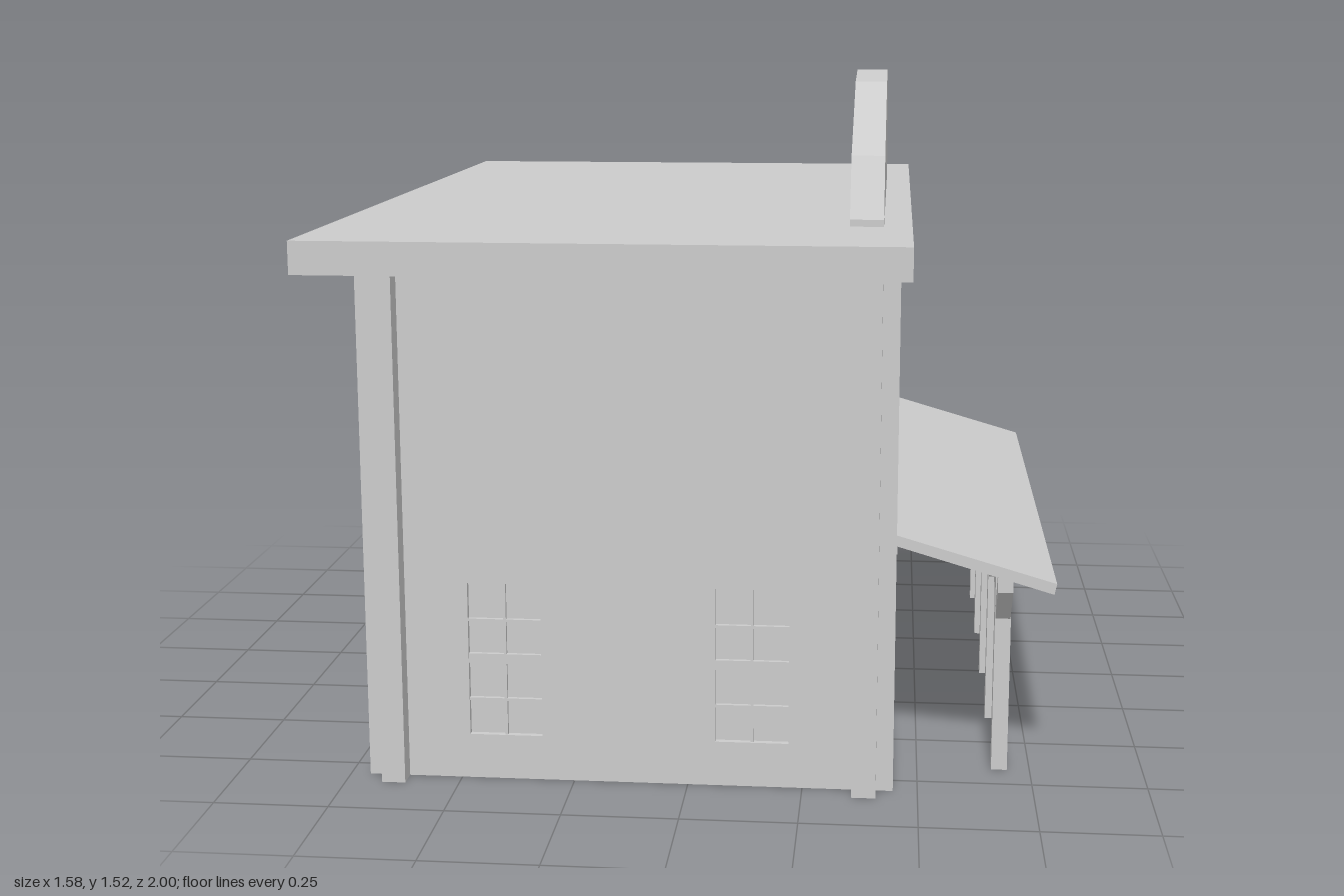
import * as THREE from 'three';

const mat = new THREE.MeshStandardMaterial({ color: 0xcccccc, flatShading: true });

function add(parent, name, geo) {
  const m = new THREE.Mesh(geo, mat);
  m.name = name;
  parent.add(m);
  return m;
}

// Box given by its min and max corners
function box(parent, name, x0, x1, y0, y1, z0, z1) {
  const m = add(parent, name, new THREE.BoxGeometry(x1 - x0, y1 - y0, z1 - z0));
  m.position.set((x0 + x1) / 2, (y0 + y1) / 2, (z0 + z1) / 2);
  return m;
}

function polygon(points) {
  return new THREE.Shape(points.map(([x, y]) => new THREE.Vector2(x, y)));
}

// Upright rectangular sheet with rectangular holes, each [x0, x1, y0, y1]
function panel(parent, name, [x0, x1, y0, y1], holes, zBack, depth) {
  const shape = polygon([[x0, y0], [x1, y0], [x1, y1], [x0, y1]]);
  for (const [a, b, c, d] of holes) {
    shape.holes.push(new THREE.Path([[a, c], [a, d], [b, d], [b, c]].map(p => new THREE.Vector2(...p))));
  }
  const m = add(parent, name, new THREE.ExtrudeGeometry(shape, { depth, bevelEnabled: false }));
  m.position.z = zBack;
  return m;
}

const WIN_W = 0.16, WIN_H = 0.345, WALL_H = 1.15, WALL_T = 0.03;

// Double-hung window, set back in its opening; outer wall face is z = 0
function addWindow(parent, cx, y) {
  const g = new THREE.Group();
  g.name = 'window';
  g.position.set(cx, y, 0);
  parent.add(g);
  const h = WIN_W / 2;
  box(g, 'windowPane', -h, h, 0, WIN_H, -0.028, -0.013);
  box(g, 'verticalGlazingBar', -0.003, 0.003, 0, WIN_H, -0.013, -0.004);
  for (const [a, b] of [[0.077, 0.083], [0.162, 0.184], [0.257, 0.263]]) {
    box(g, 'horizontalGlazingBar', -h, h, a, b, -0.013, -0.004);
  }
}

// Wall facing local +z, with windows at [centre x, sill y]
function wall(parent, name, width, windows, extraHoles = []) {
  const g = new THREE.Group();
  g.name = name;
  parent.add(g);
  const holes = windows.map(([x, y]) => [x - WIN_W / 2, x + WIN_W / 2, y, y + WIN_H]);
  panel(g, name + 'Panel', [-width / 2, width / 2, 0, WALL_H], holes.concat(extraHoles), -WALL_T, WALL_T);
  windows.forEach(([x, y]) => addWindow(g, x, y));
  return g;
}

// Framed door with a glazed top and a panelled bottom
function addDoor(parent) {
  const g = new THREE.Group();
  g.name = 'door';
  parent.add(g);
  panel(g, 'doorLeaf', [-0.112, 0.112, 0.008, 0.34],
    [[-0.1, 0.1, 0.2, 0.33], [-0.09, 0.09, 0.03, 0.17]], -0.02, 0.012);
  box(g, 'doorInfill', -0.112, 0.112, 0.008, 0.34, -0.028, -0.018);
  for (const s of [-1, 1]) {
    box(g, 'doorJamb', s * 0.128 - 0.016, s * 0.128 + 0.016, 0, 0.35, 0, 0.03);
  }
  box(g, 'doorHead', -0.112, 0.112, 0.335, 0.35, 0, 0.03);
  box(g, 'doorLintel', -0.15, 0.15, 0.345, 0.38, 0, 0.042);
}

export function createModel() {
  const model = new THREE.Group();
  model.name = 'building';
  const X0 = -0.67, X1 = 0.41, Z = 0.81, CX = (X0 + X1) / 2;

  // Hollow shell, open at the bottom
  for (const s of [1, -1]) {
    const end = wall(model, 'endWall', X1 - X0, [[-0.27 * s, 0.1], [0.27 * s, 0.1]]);
    end.position.set(CX, 0, s * Z);
    if (s < 0) end.rotation.y = Math.PI;
  }
  const back = wall(model, 'rearWall', 2 * Z, []);
  back.rotation.y = -Math.PI / 2;
  back.position.x = X0;
  const facade = wall(model, 'entranceWall', 2 * Z,
    [[-0.45, 0.1], [0.45, 0.1], [-0.45, 0.645], [0, 0.645], [0.45, 0.645]],
    [[-0.112, 0.112, 0.008, 0.34]]);
  facade.rotation.y = Math.PI / 2;
  facade.position.x = X1;
  addDoor(facade);

  // Paired pilasters beside each corner
  for (const sz of [1, -1]) {
    for (const [x, sx] of [[X1, 1], [X0, -1]]) {
      const endX = [x, x - sx * 0.052].sort((a, b) => a - b);
      const endZ = [sz * Z, sz * 0.855].sort((a, b) => a - b);
      box(model, 'endPilaster', ...endX, 0, WALL_H, ...endZ);
      const sideX = [x, x + sx * 0.037].sort((a, b) => a - b);
      const sideZ = [sz * 0.765, sz * Z].sort((a, b) => a - b);
      box(model, 'sidePilaster', ...sideX, 0, WALL_H, ...sideZ);
    }
  }

  // Frieze with hanging teeth under the eave
  const frieze = [[-0.765, 1.145], [-0.765, 1.088]];
  const teeth = [[-0.665, -0.573], [-0.477, -0.38], [-0.288, -0.192], [-0.1, 0.1],
    [0.192, 0.288], [0.38, 0.477], [0.573, 0.665]];
  for (const [a, b] of teeth) frieze.push([a, 1.088], [a, 1.038], [b, 1.038], [b, 1.088]);
  frieze.push([0.765, 1.088], [0.765, 1.145]);
  add(facade, 'toothedFrieze', new THREE.ExtrudeGeometry(polygon(frieze), { depth: 0.03, bevelEnabled: false }));

  // Flat roof and its curved parapet
  box(model, 'roofSlab', -0.79, 0.47, 1.14, 1.21, -1, 1);
  const half = [[0.65, 1.205], [0.65, 1.225], [0.565, 1.355], [0.215, 1.5]];
  const outline = [...half, [0, 1.52], ...half.map(([z, y]) => [-z, y]).reverse()];
  const parapet = add(model, 'roofParapet',
    new THREE.ExtrudeGeometry(polygon(outline), { depth: 0.073, bevelEnabled: false }));
  parapet.rotation.y = Math.PI / 2;
  parapet.position.x = 0.336;

  // Sloping porch roof
  const porch = new THREE.Group();
  porch.name = 'porch';
  model.add(porch);
  const slope = polygon([[0.41, 0.57], [0.41, 0.546], [0.785, 0.436], [0.79, 0.46]]);
  const porchRoof = add(porch, 'porchRoof', new THREE.ExtrudeGeometry(slope, { depth: 1.52, bevelEnabled: false }));
  porchRoof.position.z = -0.76;

  // Posts with a pair of braces each
  for (let i = -2; i <= 2; i++) {
    const post = new THREE.Group();
    post.name = 'porchPost';
    post.position.z = i * 0.325;
    porch.add(post);
    box(post, 'postShaft', 0.665, 0.7, 0, 0.47, -0.017, 0.017);
    for (const s of [1, -1]) {
      const pts = [[0.012, 0.345], [0.085, 0.43], [0.085, 0.468], [0.068, 0.468], [0.045, 0.43], [0.012, 0.39]];
      const shape = polygon(pts.map(([z, y]) => [s * z, y]));
      const brace = add(post, 'postBrace', new THREE.ExtrudeGeometry(shape, { depth: 0.033, bevelEnabled: false }));
      brace.rotation.y = Math.PI / 2;
      brace.position.x = 0.666;
    }
  }
  return model;
}
